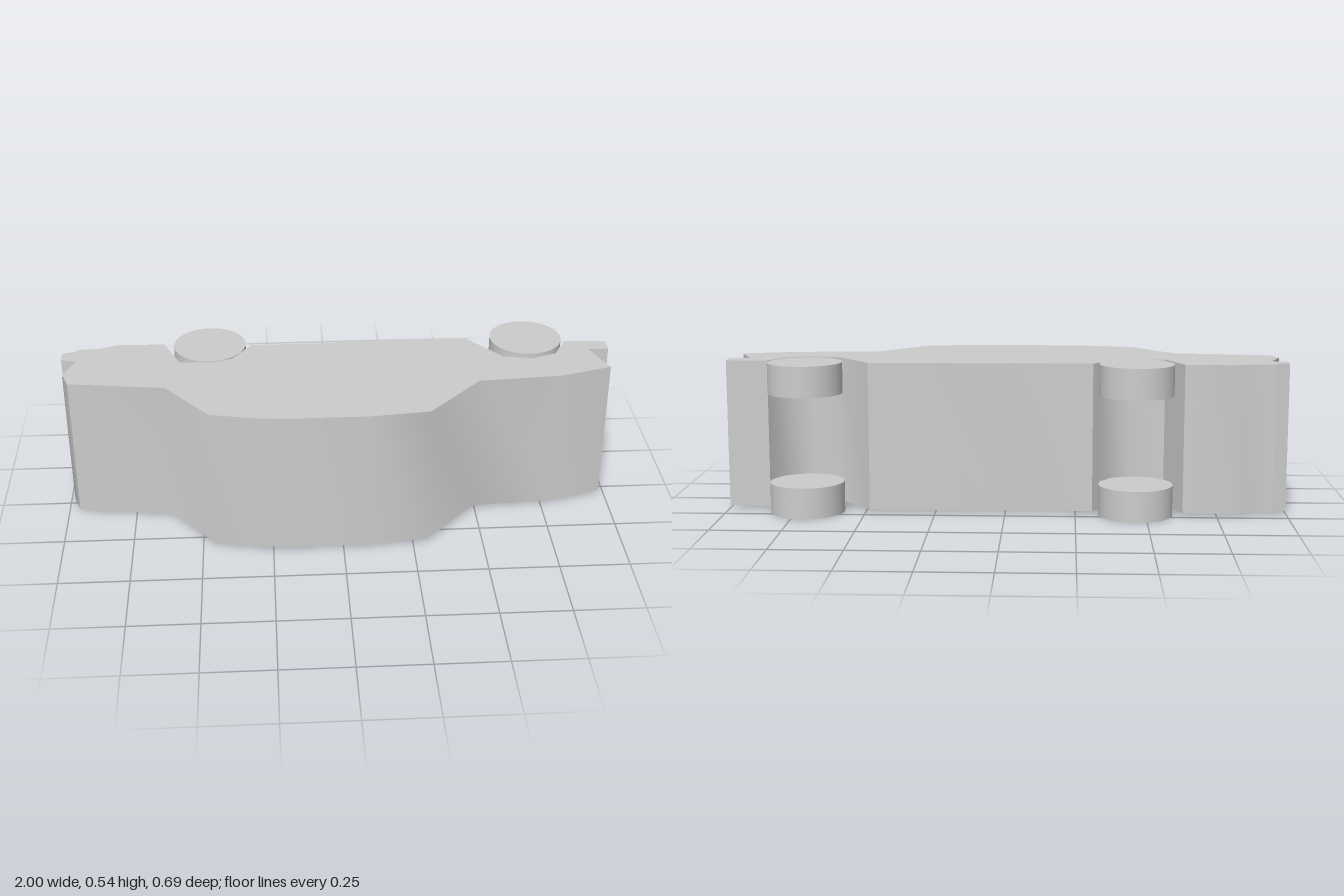
import * as THREE from 'three';
import { toCreasedNormals } from 'three/addons/utils/BufferGeometryUtils.js';

export function createModel() {
  const model = new THREE.Group();
  model.name = 'carOnItsSide';
  const material = new THREE.MeshStandardMaterial({ color: 0xcccccc });

  // Side silhouette of the car as [x, z]; the roof points to +z
  const outline = [
    // underside with both wheel arches
    [-1, -0.175], [-0.95, -0.185], [-0.95, -0.2], [-0.865, -0.205], [-0.8, -0.23], [-0.63, -0.225],
    [-0.57, -0.083], [-0.45, -0.075], [-0.38, -0.1], [-0.33, -0.175], [-0.31, -0.203],
    [-0.02, -0.203], [0.055, -0.213], [0.485, -0.213],
    [0.605, -0.062], [0.71, -0.04], [0.8, -0.075], [0.85, -0.17],
    // bumper and end at +x
    [1, -0.16], [1, -0.1], [0.925, -0.1], [0.98, 0.04],
    // deck, cabin and roof
    [0.79, 0.095], [0.495, 0.115], [0.3, 0.32], [0.09, 0.342], [-0.18, 0.342], [-0.29, 0.335],
    [-0.46, 0.3], [-0.615, 0.105], [-0.96, 0.058],
    // end and bumper at -x
    [-0.985, -0.01], [-0.945, -0.11], [-1, -0.125],
  ];
  const shape = new THREE.Shape(outline.map(([x, z]) => new THREE.Vector2(x, -z)));
  const bodyGeometry = new THREE.ExtrudeGeometry(shape, { depth: 0.53, bevelEnabled: false });
  bodyGeometry.rotateX(-Math.PI / 2).translate(0, 0.01, 0);
  const body = new THREE.Mesh(toCreasedNormals(bodyGeometry, 0.85), material);
  body.name = 'body';
  model.add(body);

  // Two wheels per axle; the lower ones sit slightly deeper in the arches
  const wheelGeometry = new THREE.CylinderGeometry(0.132, 0.132, 0.11, 40);
  const axles = [['wheelRight', -0.463, -0.214], ['wheelLeft', 0.709, -0.206]];
  for (const [name, x, z] of axles) {
    for (const [side, y, shift] of [['Upper', 0.486, 0], ['Lower', 0.055, 0.008]]) {
      const wheel = new THREE.Mesh(wheelGeometry, material);
      wheel.name = name + side;
      wheel.position.set(x, y, z + shift);
      model.add(wheel);
    }
  }
  return model;
}
